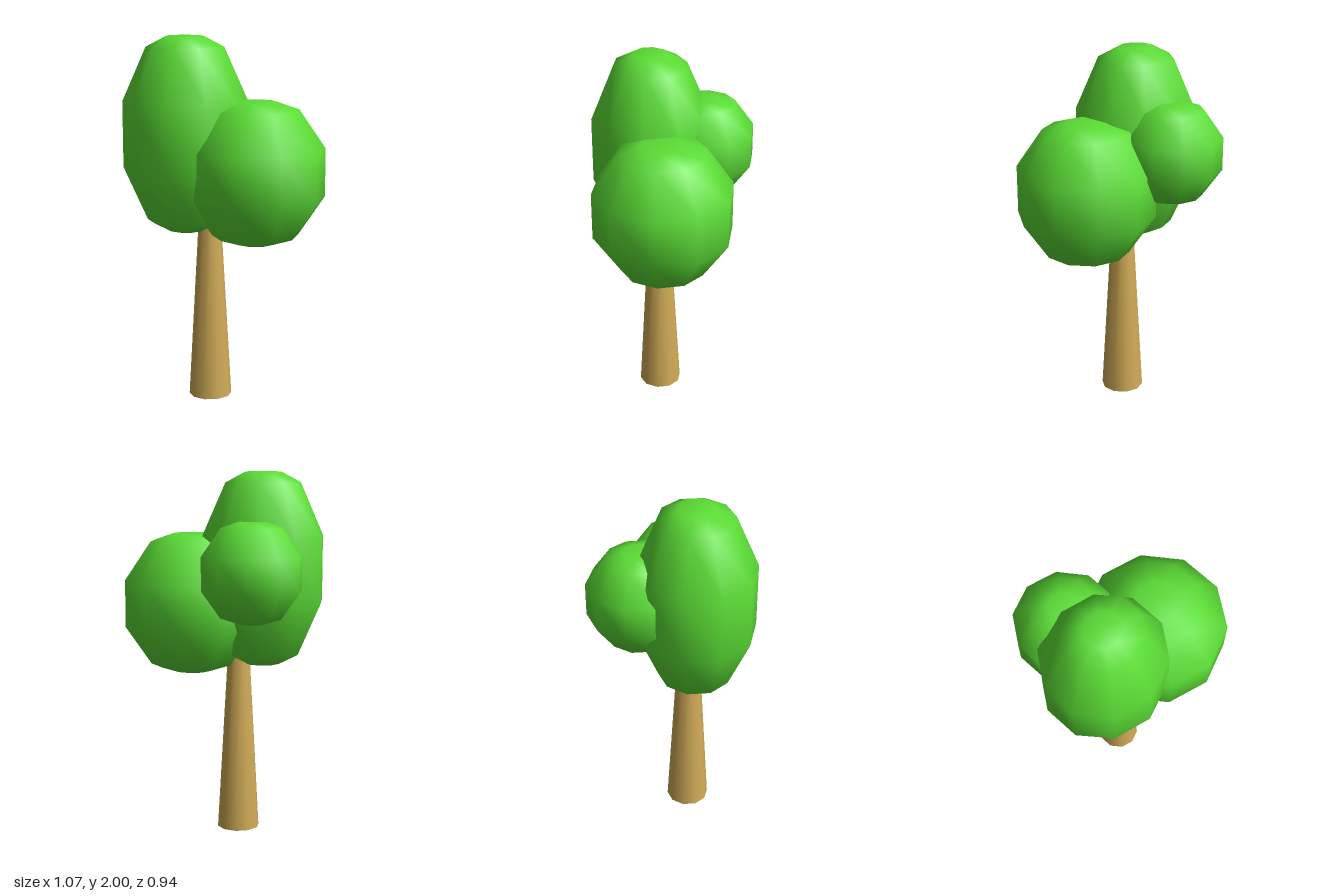
import * as THREE from 'three';

const SIDES = 10;

// Ten-sided rounded blob of unit radius and unit half height, flat at both ends
function blobGeometry() {
  const upper = [[1, 0.34], [0.62, 0.89], [0.295, 1], [0, 1]];
  const lower = upper.map(([r, y]) => [r, -y]).reverse();
  const profile = [...lower, ...upper].map(([r, y]) => new THREE.Vector2(r, y));
  return new THREE.LatheGeometry(profile, SIDES);
}

export function createModel() {
  const tree = new THREE.Group();
  tree.name = 'tree';

  const leafMaterial = new THREE.MeshStandardMaterial({ color: 0x5bdc35 });
  const barkMaterial = new THREE.MeshStandardMaterial({ color: 0xd2ac58 });

  // Tapered trunk, its top hidden inside the foliage
  const height = 1.12;
  const trunk = new THREE.Mesh(new THREE.CylinderGeometry(0.055, 0.118, height, SIDES), barkMaterial);
  trunk.name = 'trunk';
  trunk.position.set(-0.085, height / 2, 0.07);
  tree.add(trunk);

  // Foliage: name, centre, radii
  const blob = blobGeometry();
  const foliage = [
    ['tallFoliage', [-0.215, 1.472, 0.09], [0.341, 0.528, 0.322]],
    ['leftFoliage', [0.178, 1.278, 0.093], [0.376, 0.383, 0.378]],
    ['backFoliage', [-0.183, 1.477, -0.2], [0.273, 0.267, 0.274]],
  ];
  for (const [name, centre, radii] of foliage) {
    const mesh = new THREE.Mesh(blob, leafMaterial);
    mesh.name = name;
    mesh.position.set(...centre);
    mesh.scale.set(...radii);
    tree.add(mesh);
  }
  return tree;
}
